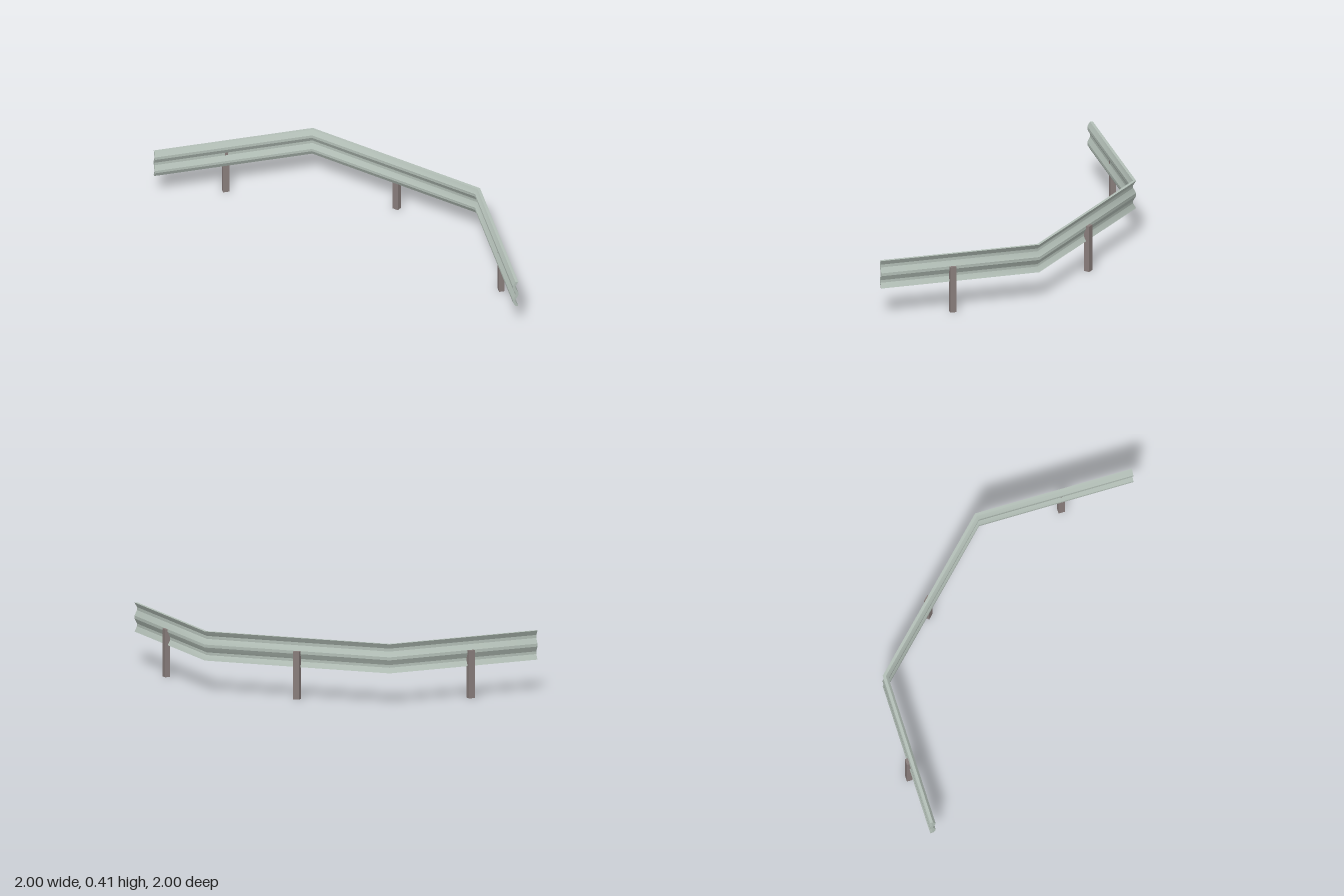
import * as THREE from 'three';

const steel = new THREE.MeshStandardMaterial({ color: 0xb3bfb7 });
steel.name = 'galvanised steel';
const postBrown = new THREE.MeshStandardMaterial({ color: 0x887d7b });
postBrown.name = 'post brown';

// Back line of the rail as [x, z], with the mitred inward direction at each point
const T = Math.tan(Math.PI / 8);
const PATH = [
  { p: [-1, -0.981], n: [0, 1] },
  { p: [0.073, -0.981], n: [-T, 1] },
  { p: [0.981, -0.073], n: [-1, T] },
  { p: [0.981, 1], n: [-1, 0] },
];

// Double-wave beam section: [height, inward bulge], top to bottom
const WAVE = [
  [0.407, 0], [0.375, 0.018], [0.355, 0.018], [0.32, 0],
  [0.3, 0], [0.265, 0.018], [0.247, 0.018], [0.213, 0],
];
const SHEET = 0.019;

function railGeometry() {
  const front = WAVE.map(([y, d]) => [y, d + SHEET]);
  const loop = [...front, ...[...WAVE].reverse()];
  const pos = [];
  const idx = [];
  const add = (s, [y, d]) => pos.push(s.p[0] + s.n[0] * d, y, s.p[1] + s.n[1] * d);

  // One strip per side of the section: creased across, smooth along the length
  loop.forEach((a, i) => {
    const b = loop[(i + 1) % loop.length];
    const base = pos.length / 3;
    PATH.forEach((s) => { add(s, a); add(s, b); });
    for (let k = 0; k < PATH.length - 1; k++) {
      const o = base + k * 2;
      idx.push(o, o + 1, o + 3, o, o + 3, o + 2);
    }
  });

  // End caps
  [PATH[0], PATH[PATH.length - 1]].forEach((s, end) => {
    for (let i = 0; i < WAVE.length - 1; i++) {
      const o = pos.length / 3;
      [front[i], WAVE[i], WAVE[i + 1], front[i + 1]].forEach((v) => add(s, v));
      if (end === 0) idx.push(o, o + 1, o + 2, o, o + 2, o + 3);
      else idx.push(o, o + 2, o + 1, o, o + 3, o + 2);
    }
  });

  const geo = new THREE.BufferGeometry();
  geo.setAttribute('position', new THREE.Float32BufferAttribute(pos, 3));
  geo.setIndex(idx);
  geo.computeVertexNormals();
  return geo;
}

function box(name, w, h, d, y, z) {
  const mesh = new THREE.Mesh(new THREE.BoxGeometry(w, h, d), postBrown);
  mesh.name = name;
  mesh.position.set(0, y, z);
  return mesh;
}

export function createModel() {
  const model = new THREE.Group();
  model.name = 'guardRail';

  const rail = new THREE.Mesh(railGeometry(), steel);
  rail.name = 'rail';
  model.add(rail);

  // A post behind the middle of each section, its bolt showing in the central groove
  const posts = [[-0.515, -0.9815], [0.53, -0.53], [0.9815, 0.515]];
  posts.forEach(([x, z], i) => {
    const post = new THREE.Group();
    post.name = 'post' + (i + 1);
    post.add(box('postBeam', 0.043, 0.32, 0.037, 0.16, 0));
    post.add(box('postBolt', 0.02, 0.02, 0.006, 0.31, 0.0175));
    post.position.set(x, 0, z);
    post.rotation.y = (-i * Math.PI) / 4;
    model.add(post);
  });

  return model;
}
